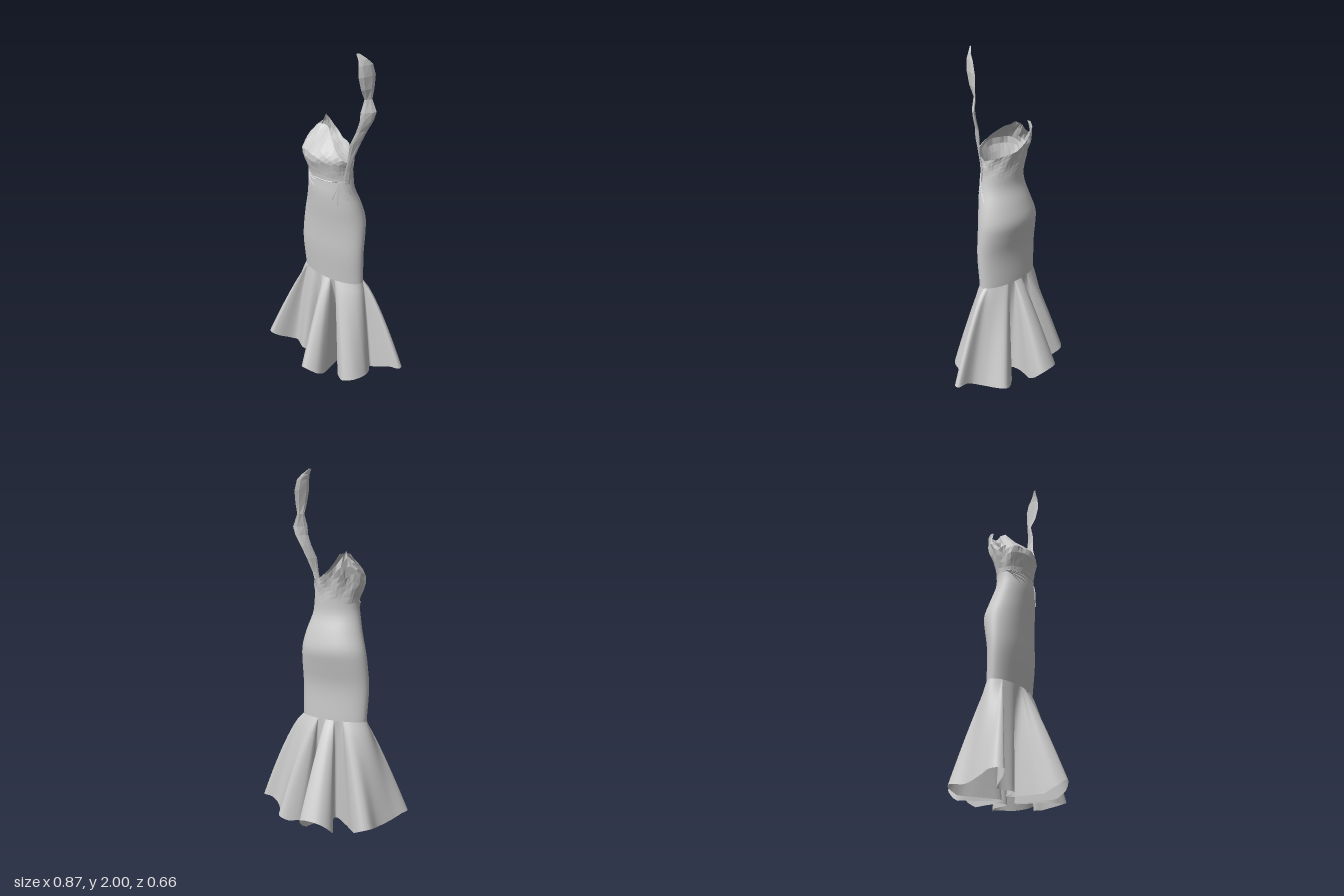
import * as THREE from 'three';

const smooth = new THREE.MeshStandardMaterial({ color: 0xcccccc, side: THREE.DoubleSide });
const faceted = new THREE.MeshStandardMaterial({ color: 0xcccccc, side: THREE.DoubleSide, flatShading: true });

// Dress cross-sections: [y, xMin, xMax, zMin, zMax]
const SECTIONS = [
  [0.6, -0.238, 0.173, -0.073, 0.092],
  [0.8, -0.245, 0.178, -0.075, 0.112],
  [0.92, -0.238, 0.176, -0.1, 0.117],
  [1.0, -0.226, 0.17, -0.115, 0.122],
  [1.1, -0.195, 0.15, -0.092, 0.132],
  [1.2, -0.17, 0.12, -0.057, 0.138],
  [1.27, -0.163, 0.11, -0.055, 0.133],
  [1.34, -0.185, 0.11, -0.06, 0.148],
  [1.41, -0.196, 0.113, -0.078, 0.163],
  [1.47, -0.182, 0.1, -0.1, 0.105],
  [1.53, -0.165, 0.08, -0.09, 0.035],
  [1.58, -0.155, 0.05, -0.06, 0.0],
];
const sectionAt = new THREE.CubicInterpolant(
  SECTIONS.map((s) => s[0]), SECTIONS.flatMap((s) => s.slice(1)), 4);

// Point on the fitted dress; angle 0 is +x and a quarter turn is the front
function surface(a, y, grow = 0) {
  const [x0, x1, z0, z1] = sectionAt.evaluate(y);
  return new THREE.Vector3(
    (x0 + x1) / 2 + Math.cos(a) * ((x1 - x0) / 2 + grow), y,
    (z0 + z1) / 2 + Math.sin(a) * ((z1 - z0) / 2 + grow));
}

// Closed loft through rows 0..rows and columns 0..cols, at(u, v) gives the point
function loft(name, cols, rows, material, at) {
  const pos = [], idx = [];
  for (let r = 0; r <= rows; r++)
    for (let c = 0; c < cols; c++) pos.push(...at(c / cols, r / rows).toArray());
  for (let r = 0; r < rows; r++)
    for (let c = 0; c < cols; c++) {
      const d = (c + 1) % cols, k = r * cols, n = k + cols;
      idx.push(k + c, n + c, k + d, k + d, n + c, n + d);
    }
  const g = new THREE.BufferGeometry();
  g.setAttribute('position', new THREE.Float32BufferAttribute(pos, 3));
  g.setIndex(idx);
  g.computeVertexNormals();
  const mesh = new THREE.Mesh(g, material);
  mesh.name = name;
  return mesh;
}

// Hem outline seen from above (x, z): flared lobes with valleys between
const HEM = [
  [0.43, -0.03], [0.33, -0.01], [0.24, 0], [0.265, 0.05], [0.275, 0.1], [0.25, 0.18], [0.2, 0.215],
  [0.14, 0.19], [0.08, 0.15], [0.045, 0.15], [0.06, 0.22], [0.05, 0.29], [-0.01, 0.33], [-0.055, 0.3],
  [-0.08, 0.22], [-0.1, 0.155], [-0.2, 0.125], [-0.29, 0.085], [-0.37, 0.17], [-0.405, 0.19],
  [-0.435, 0.16], [-0.4, 0.05], [-0.36, -0.06], [-0.355, -0.15], [-0.32, -0.18], [-0.26, -0.16],
  [-0.16, -0.09], [-0.1, -0.1], [-0.168, -0.25], [-0.13, -0.31], [-0.06, -0.33], [0, -0.315],
  [0.015, -0.25], [0, -0.11], [0.05, -0.09], [0.1, -0.17], [0.2, -0.22], [0.27, -0.12],
  [0.33, -0.07], [0.43, -0.06],
];

// Valleys pulled in under the dress: [x, z, shift x, shift z]
const VALLEYS = [
  [0.05, 0.15, 0, -0.16], [-0.12, 0.145, 0.01, -0.11], [-0.11, -0.09, 0.05, 0.07], [0.03, -0.1, 0.01, 0.04],
];

function makeSkirt() {
  const cols = HEM.length * 6;
  const curve = new THREE.CatmullRomCurve3(HEM.map(([x, z]) => new THREE.Vector3(x, 0, z)), true);
  const hem = [], angles = [];
  let last = -Infinity;
  for (let i = 0; i < cols; i++) {
    const p = curve.getPoint(i / cols);
    const dx = p.x + 0.03, dz = p.z - 0.01;
    // Lobe tips lift off the floor
    p.y = THREE.MathUtils.clamp((Math.hypot(dx, dz) - 0.29) * 0.5, 0, 0.06) + Math.max(0, Math.abs(p.z) - 0.23) * 0.6;
    let a = Math.atan2(dz / 0.08, dx / 0.205);
    while (a < last - Math.PI) a += Math.PI * 2;
    last = Math.max(a, last);
    angles.push(last);
    const { x, z } = p;
    for (const [vx, vz, sx, sz] of VALLEYS) {
      const w = Math.exp(-((x - vx) ** 2 + (z - vz) ** 2) / 0.0016);
      p.x += sx * w;
      p.z += sz * w;
    }
    hem.push(p);
  }
  return loft('flaredSkirt', cols, 14, smooth, (u, v) => {
    const i = Math.round(u * cols);
    const top = surface(angles[i], 0.6), end = hem[i];
    // The +x side swells out sooner than the rest
    const p = top.clone().lerp(end, Math.pow(v, 0.86 - 0.3 * Math.max(0, end.x)));
    p.y = THREE.MathUtils.lerp(top.y, end.y, v);
    return p;
  });
}

// Neckline height at even angles around the bodice, starting at +x
const NECK = [1.36, 1.41, 1.47, 1.53, 1.54, 1.52, 1.46, 1.57, 1.49, 1.43, 1.4, 1.38];

function makeBodice() {
  const neckAt = (u) => {
    const f = u * NECK.length, i = Math.floor(f);
    return THREE.MathUtils.lerp(NECK[i % NECK.length], NECK[(i + 1) % NECK.length], f - i);
  };
  return loft('drapedBodice', 40, 7, faceted, (u, v) => {
    const a = u * Math.PI * 2;
    // Deeper crumples on the -x side, where the cloth folds over
    const depth = 0.004 + 0.008 * Math.max(0, -Math.cos(a));
    const crumple = depth * v * (Math.sin(a * 7 + v * 5) + 0.6 * Math.sin(a * 11 - v * 9));
    return surface(a, THREE.MathUtils.lerp(1.26, neckAt(u), v), crumple);
  });
}

// Loose shoulder ribbon: [y, x, z, half width in x, half width in z]
const RIBBON = [
  [1.25, 0.1, 0.07, 0.012, 0.02], [1.34, 0.112, 0.068, 0.008, 0.015], [1.42, 0.13, 0.063, 0.01, 0.016],
  [1.5, 0.148, 0.052, 0.014, 0.032], [1.57, 0.172, 0.03, 0.016, 0.03], [1.63, 0.195, 0.02, 0.022, 0.032],
  [1.68, 0.204, 0.018, 0.028, 0.032], [1.75, 0.198, 0.014, 0.012, 0.018], [1.81, 0.203, 0.027, 0.014, 0.038],
  [1.88, 0.204, 0.035, 0.016, 0.05], [1.94, 0.2, 0.043, 0.015, 0.04], [1.97, 0.19, 0.055, 0.012, 0.022],
  [2.0, 0.17, 0.07, 0.004, 0.008],
];

function makeRibbon() {
  return loft('shoulderRibbon', 6, RIBBON.length - 1, faceted, (u, v) => {
    const i = Math.round(v * (RIBBON.length - 1));
    const [y, x, z, dx, dz] = RIBBON[i];
    const c = Math.cos(u * Math.PI * 2), s = Math.sin(u * Math.PI * 2) * 0.2;
    return new THREE.Vector3(x + dx * c + dz * s, y, z - dz * c + dx * s);
  });
}

// Thin raised fold lying on the dress between two (angle, y) points
function makeFold(name, a0, y0, a1, y1, radius) {
  const pts = [0, 0.33, 0.67, 1].map((t) => surface(
    THREE.MathUtils.lerp(a0, a1, t), THREE.MathUtils.lerp(y0, y1, t), 0.004 * (1 - t) + Math.sin(t * 9) * 0.002));
  const mesh = new THREE.Mesh(new THREE.TubeGeometry(new THREE.CatmullRomCurve3(pts), 8, radius, 4), faceted);
  mesh.name = name;
  return mesh;
}

export function createModel() {
  const dress = new THREE.Group();
  dress.name = 'dress';

  dress.add(makeSkirt());
  dress.add(loft('fittedBody', 56, 24, smooth, (u, v) => surface(u * Math.PI * 2, 0.6 + 0.67 * v)));
  dress.add(makeBodice());
  dress.add(makeRibbon());

  // Gathers fanning down from the ribbon, and short ones at the other side
  const gathers = new THREE.Group();
  gathers.name = 'waistGathers';
  for (let i = 0; i < 8; i++)
    gathers.add(makeFold('ribbonGather', 0.5 + i * 0.03, 1.27 - (i % 3) * 0.01, -0.1 + i * 0.17, 1.13 + (i % 3) * 0.03, 0.004));
  for (let i = 0; i < 5; i++)
    gathers.add(makeFold('sideGather', 2.9 - i * 0.08, 1.27 - i * 0.006, 2.2 - (i % 2) * 0.3, 1.265 - i * 0.016, 0.004));
  // Seam under the bust
  gathers.add(makeFold('bustSeam', 0.4, 1.265, 2.9, 1.27, 0.004));
  dress.add(gathers);
  return dress;
}
